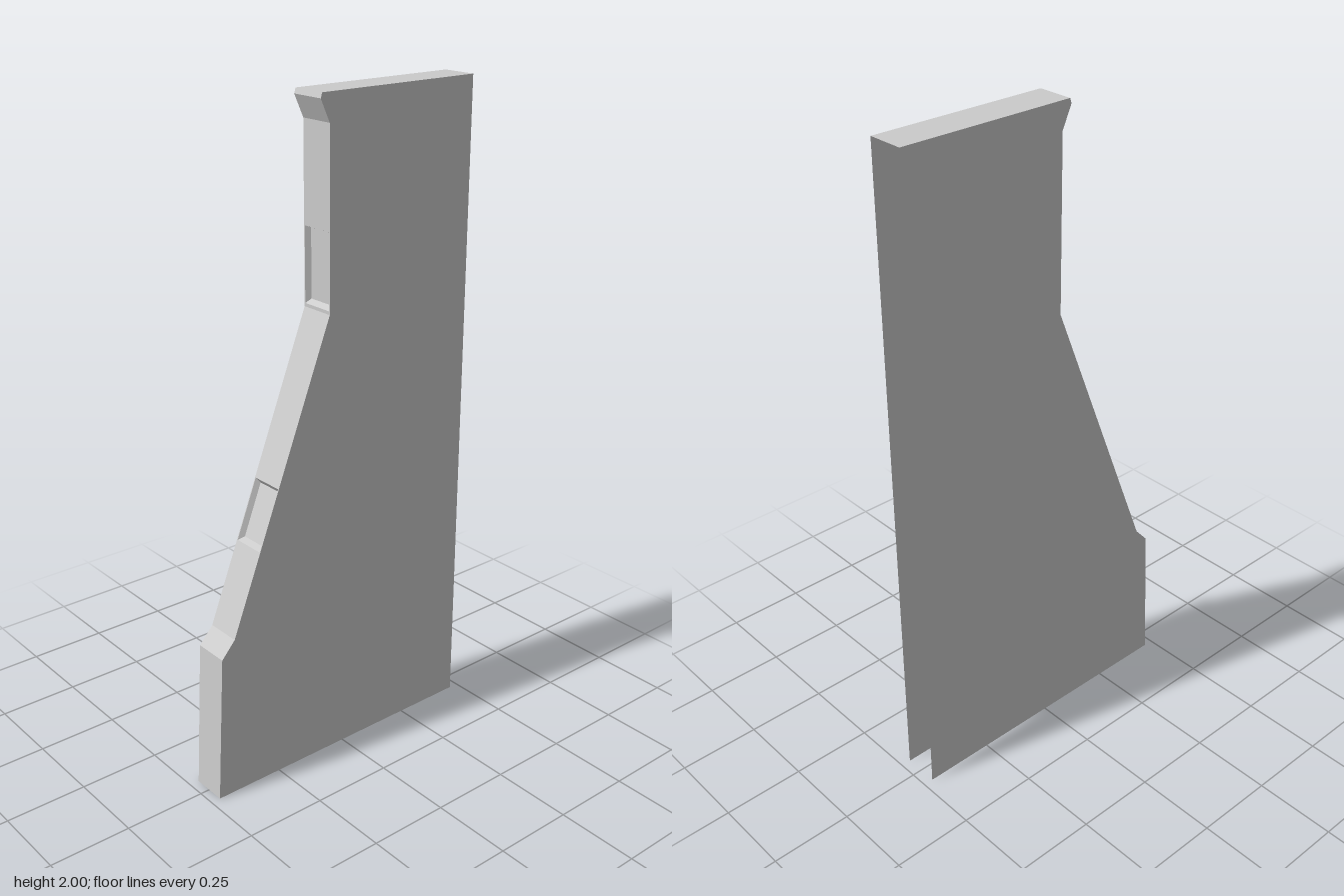
import * as THREE from 'three';

const HALF = 0.055;
const material = new THREE.MeshStandardMaterial({ color: 0xcccccc, side: THREE.DoubleSide, flatShading: true });

// Outline of the buttress as [z, y], from the front foot up and over to the back
const PROFILE = [
  [0.47, 0], [0.445, 0.46], [0.4, 0.51], [0.05, 1.4], [0.05, 1.92],
  [0.08, 1.985], [0.075, 2], [-0.47, 2],
];
const FACES = ['plinthFace', 'plinthLedge', 'slopedFace', 'upperFace', 'corniceUnderside', 'corniceEdge', 'topFace'];

// Sunken panels: distance along the face from its lower edge
const RECESSES = {
  slopedFace: { from: 0.263, to: 0.451, bottom: 0.015, top: 0.01 },
  upperFace: { from: 0.01, to: 0.23, bottom: 0.012, top: 0.006 },
};
const RECESS_HALF = 0.052, RECESS_FLOOR = 0.043, RECESS_DEPTH = 0.015;

const rect = (w, y0, y1) => [[-w, y0], [w, y0], [w, y1], [-w, y1]].map(([x, y]) => new THREE.Vector2(x, y));

// Bevelled rim and floor of a sunken panel
function recessGeometry({ from, to, bottom, top }) {
  const rim = rect(RECESS_HALF, from, to).map((p) => [p.x, p.y, 0]);
  const floor = rect(RECESS_FLOOR, from + bottom, to - top).map((p) => [p.x, p.y, -RECESS_DEPTH]);
  const positions = [];
  const quad = (a, b, c, d) => positions.push(...a, ...b, ...c, ...a, ...c, ...d);
  for (let i = 0; i < 4; i++) {
    const j = (i + 1) % 4;
    quad(rim[i], rim[j], floor[j], floor[i]);
  }
  quad(...floor);
  const geometry = new THREE.BufferGeometry();
  geometry.setAttribute('position', new THREE.Float32BufferAttribute(positions, 3));
  geometry.computeVertexNormals();
  return geometry;
}

function addMesh(parent, name, geometry) {
  const mesh = new THREE.Mesh(geometry, material);
  mesh.name = name;
  parent.add(mesh);
  return mesh;
}

export function createModel() {
  const model = new THREE.Group();
  model.name = 'buttress';

  // Flat side walls; back and underside stay open
  for (const side of [-1, 1]) {
    const outline = [...PROFILE, [-0.47, 0]].map(([z, y]) => new THREE.Vector2(-side * z, y));
    const geometry = new THREE.ShapeGeometry(new THREE.Shape(outline));
    geometry.rotateY(side * Math.PI / 2);
    addMesh(model, side > 0 ? 'leftWall' : 'rightWall', geometry).position.x = side * HALF;
  }

  // Narrow faces following the outline, two of them with a sunken panel
  FACES.forEach((name, i) => {
    const [z0, y0] = PROFILE[i], [z1, y1] = PROFILE[i + 1];
    const face = new THREE.Group();
    face.name = name;
    face.position.set(0, y0, z0);
    face.rotation.x = Math.atan2(z1 - z0, y1 - y0);
    const shape = new THREE.Shape(rect(HALF, 0, Math.hypot(z1 - z0, y1 - y0)));
    const recess = RECESSES[name];
    if (recess) {
      shape.holes.push(new THREE.Path(rect(RECESS_HALF, recess.from, recess.to).reverse()));
      addMesh(face, 'sunkenPanel', recessGeometry(recess));
    }
    addMesh(face, name + 'Surface', new THREE.ShapeGeometry(shape));
    model.add(face);
  });

  return model;
}
